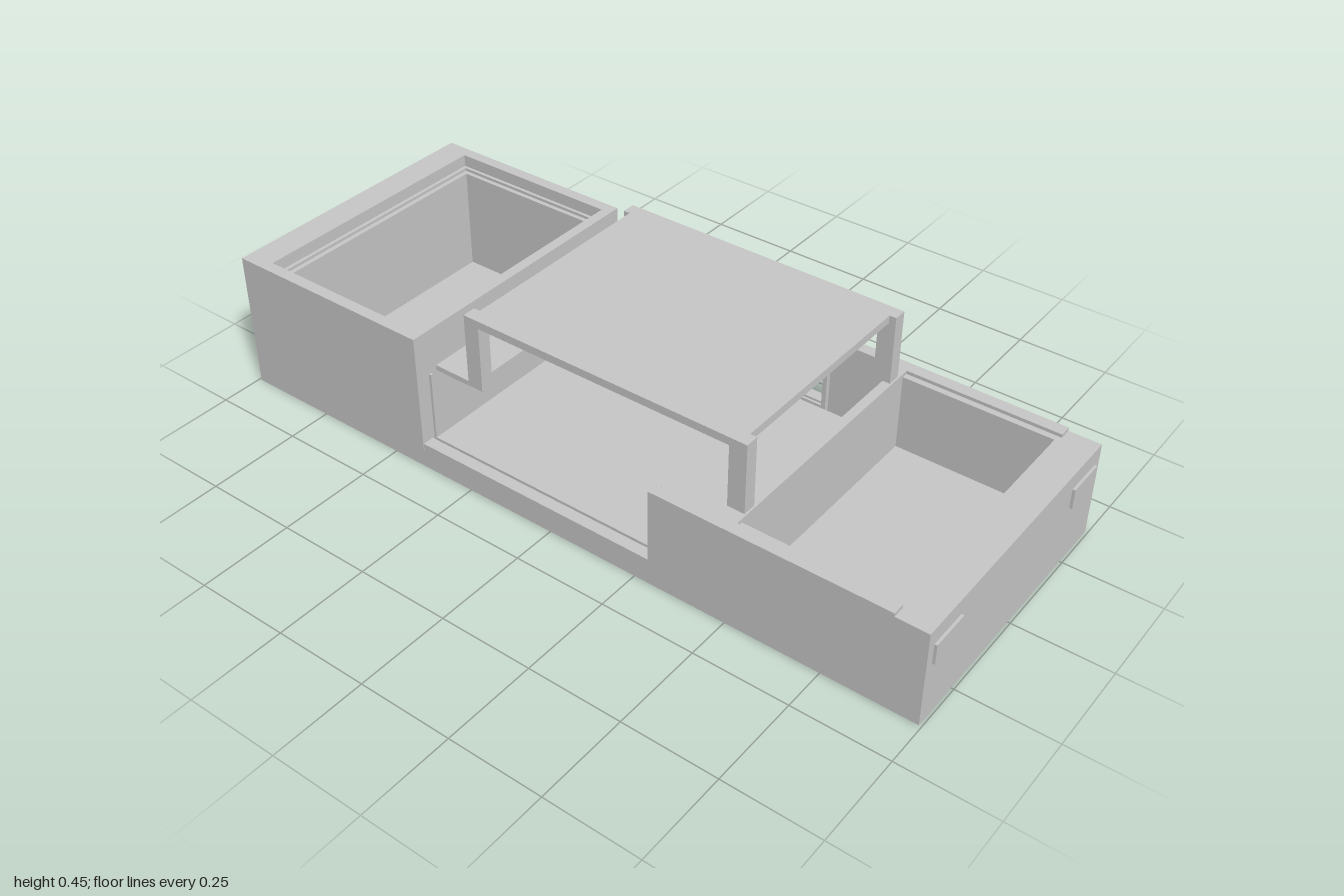
import * as THREE from 'three';

const bodyGrey = new THREE.MeshStandardMaterial({ color: 0xc8c8c8 });
bodyGrey.name = 'body grey';

// Box given by its limits on each axis
function box(parent, name, x0, x1, y0, y1, z0, z1) {
  const mesh = new THREE.Mesh(new THREE.BoxGeometry(x1 - x0, y1 - y0, z1 - z0), bodyGrey);
  mesh.position.set((x0 + x1) / 2, (y0 + y1) / 2, (z0 + z1) / 2);
  mesh.name = name;
  parent.add(mesh);
  return mesh;
}

// The same box on both sides
function pair(parent, name, x0, x1, ...rest) {
  return [box(parent, name + 'Left', x0, x1, ...rest), box(parent, name + 'Right', -x1, -x0, ...rest)];
}

// Lamp surrounds: only the four sides of a shallow box, open to the body behind
function lamps(parent, name, ...limits) {
  for (const { geometry } of pair(parent, name, ...limits)) {
    geometry.setIndex([...geometry.index.array.slice(0, 24)]);
    geometry.clearGroups();
  }
}

// Upright rectangular ring; outer and inner are [half width, z0, z1]
function ring(parent, name, outer, inner, y0, y1) {
  const corners = ([w, z0, z1]) => [[-w, -z1], [w, -z1], [w, -z0], [-w, -z0]].map(([x, y]) => new THREE.Vector2(x, y));
  const shape = new THREE.Shape(corners(outer));
  shape.holes.push(new THREE.Path(corners(inner)));
  const geometry = new THREE.ExtrudeGeometry(shape, { depth: y1 - y0, bevelEnabled: false });
  geometry.rotateX(-Math.PI / 2).translate(0, y0, 0);
  const mesh = new THREE.Mesh(geometry, bodyGrey);
  mesh.name = name;
  parent.add(mesh);
}

export function createModel() {
  const model = new THREE.Group();
  model.name = 'carBody';
  const W = 0.383;

  // Floor pan and door sills
  box(model, 'floorPan', -W, W, 0, 0.05, -0.993, 0.993);
  box(model, 'cabinFloor', -0.338, 0.338, 0.05, 0.062, -0.4, 0.478);
  pair(model, 'doorSill', 0.352, W, 0.05, 0.07, -0.4, 0.29);
  pair(model, 'sillLip', 0.338, 0.345, 0.05, 0.07, -0.4, 0.29);

  // Front bay with a shallow ledge for the lid
  const front = new THREE.Group();
  front.name = 'frontBay';
  ring(front, 'bayWalls', [W, 0.478, 0.993], [0.333, 0.503, 0.9], 0.05, 0.258);
  pair(front, 'fenderTop', 0.35, W, 0.258, 0.267, 0.478, 0.91);
  box(front, 'cowl', -W, W, 0.258, 0.267, 0.478, 0.503);
  pair(front, 'cabinSide', 0.352, W, 0.05, 0.267, 0.288, 0.478);
  model.add(front);

  // Door stops on the front and rear jambs
  pair(model, 'frontDoorStop', 0.338, 0.352, 0.05, 0.257, 0.281, 0.293);
  pair(model, 'rearDoorStop', 0.338, 0.345, 0.05, 0.257, -0.4, -0.393);

  // Rear bay, stepped near the rim
  const rear = new THREE.Group();
  rear.name = 'rearBay';
  const rearOutline = [W, -0.993, -0.402];
  ring(rear, 'bayWalls', rearOutline, [0.331, -0.892, -0.43], 0.05, 0.335);
  ring(rear, 'bayStep', rearOutline, [0.343, -0.905, -0.43], 0.335, 0.343);
  ring(rear, 'bayRim', rearOutline, [0.352, -0.915, -0.43], 0.343, 0.376);
  model.add(rear);

  // Roof on four pillars, with the shelf behind the cabin
  const roof = new THREE.Group();
  roof.name = 'roof';
  box(roof, 'roofPanel', -0.316, 0.316, 0.432, 0.453, -0.28, 0.48);
  pair(roof, 'frontPillar', 0.28, 0.316, 0.267, 0.453, 0.452, 0.498);
  pair(roof, 'rearPillar', 0.28, 0.316, 0.253, 0.453, -0.298, -0.255);
  box(roof, 'rearShelf', -0.317, 0.317, 0.253, 0.267, -0.402, -0.298);
  box(roof, 'rearWindowBar', -0.28, 0.28, 0.253, 0.285, -0.28, -0.26);
  model.add(roof);

  // Lamps
  lamps(model, 'headlamp', 0.25, 0.36, 0.16, 0.214, 0.993, 1);
  lamps(model, 'tailLamp', 0.25, 0.36, 0.14, 0.195, -1, -0.993);
  return model;
}
